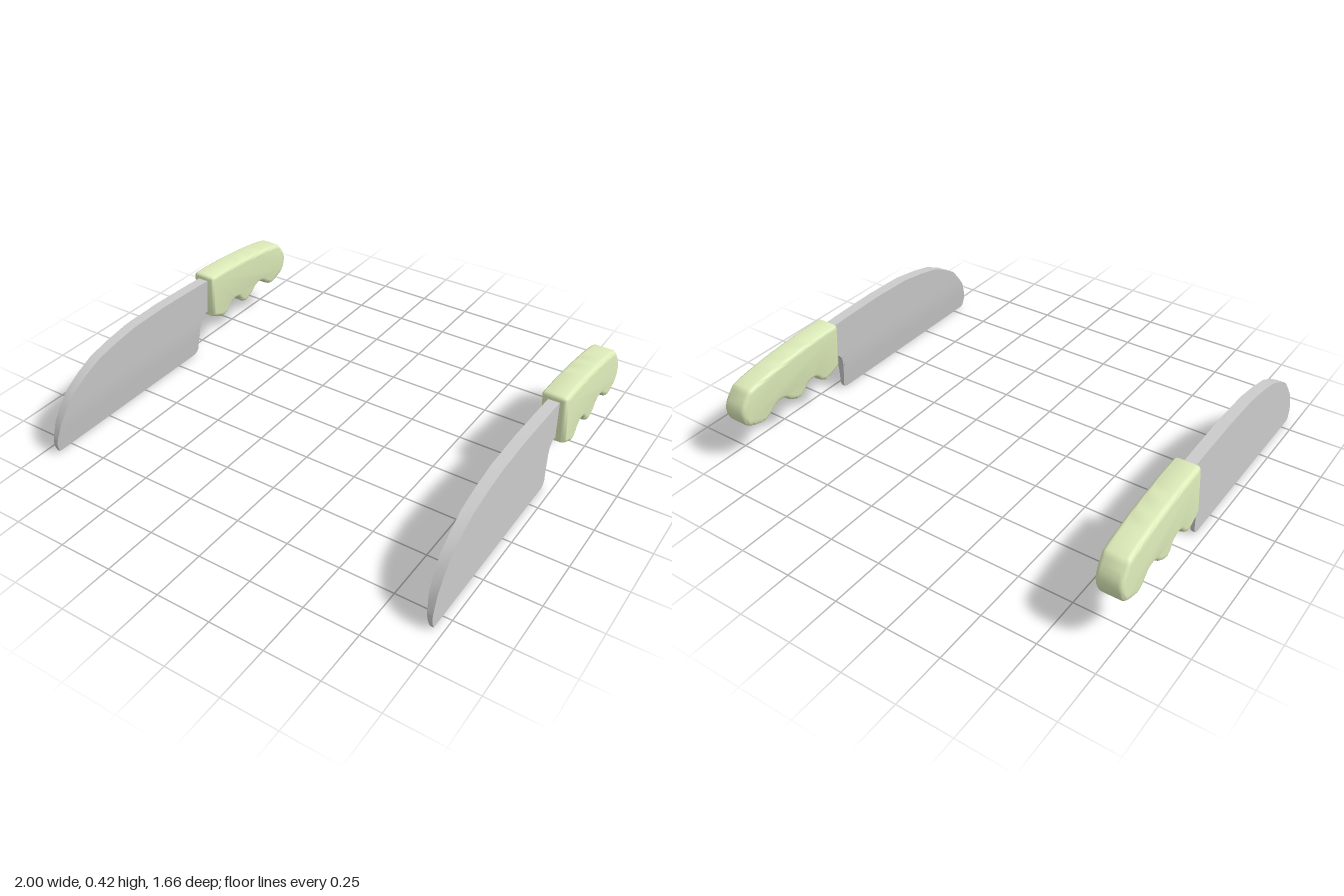
import * as THREE from 'three';
import { toCreasedNormals } from 'three/addons/utils/BufferGeometryUtils.js';

const ROWS = 10;

// Inner face of the blade: thin at the edge, thick at the spine
function innerX(y) {
  if (y < 0.15) return THREE.MathUtils.lerp(0.945, 0.922, y / 0.15);
  return THREE.MathUtils.lerp(0.922, 0.902, (y - 0.15) / 0.26);
}

// Blade lofted from upright cross-sections, tip to tang
function bladeGeometry() {
  // [z, bottom y, top y]
  const sections = [
    [0.832, 0.045, 0.065], [0.828, 0.025, 0.083], [0.82, 0.004, 0.105], [0.803, 0.002, 0.155],
    [0.76, 0.002, 0.215], [0.715, 0.002, 0.268], [0.64, 0.002, 0.315], [0.55, 0.002, 0.357],
    [0.44, 0.002, 0.382], [0.31, 0.002, 0.402], [0.1, 0.002, 0.407], [-0.125, 0.002, 0.4],
    [-0.14, 0.01, 0.4], [-0.149, 0.025, 0.399], [-0.151, 0.1, 0.399], [-0.157, 0.165, 0.398],
    [-0.165, 0.195, 0.398], [-0.185, 0.216, 0.397], [-0.205, 0.219, 0.396], [-0.25, 0.205, 0.39],
  ];
  const pos = [], index = [], n = ROWS * 2;
  for (const [z, lo, hi] of sections) {
    for (let i = 0; i < n; i++) {
      const outer = i < ROWS;
      const t = (outer ? i : n - 1 - i) / (ROWS - 1);
      const y = lo + (hi - lo) * t;
      pos.push(outer ? 0.959 - 0.004 * (y / 0.4) : innerX(y), y, z);
    }
  }
  for (let s = 0; s < sections.length - 1; s++) {
    for (let i = 0; i < n; i++) {
      const a = s * n + i, b = s * n + (i + 1) % n;
      index.push(a, a + n, b, b, a + n, b + n);
    }
  }
  // End caps
  const last = (sections.length - 1) * n;
  for (let i = 0; i < ROWS - 1; i++) {
    const j = n - 1 - i;
    index.push(i, i + 1, j, i + 1, j - 1, j);
    index.push(last + i, last + j, last + i + 1, last + i + 1, last + j, last + j - 1);
  }
  const geo = new THREE.BufferGeometry();
  geo.setAttribute('position', new THREE.Float32BufferAttribute(pos, 3));
  geo.setIndex(index);
  return toCreasedNormals(geo, 0.6);
}

// Scalloped grip: bevelled side profile, leaning slightly outward at the bottom
function handleGeometry() {
  const v = (z, y) => new THREE.Vector2(-z, y);
  const width = 0.118, bevel = 0.02;
  const shape = new THREE.Shape();
  shape.moveTo(0.215, 0.2);
  // Finger grooves, then the rounded butt
  shape.splineThru([
    v(-0.245, 0.182), v(-0.305, 0.158), v(-0.345, 0.178), v(-0.37, 0.205), v(-0.4, 0.214),
    v(-0.43, 0.203), v(-0.455, 0.172), v(-0.49, 0.157), v(-0.54, 0.178), v(-0.57, 0.204),
    v(-0.6, 0.214), v(-0.635, 0.204), v(-0.67, 0.175), v(-0.71, 0.157), v(-0.77, 0.172),
    v(-0.81, 0.196), v(-0.83, 0.25), v(-0.818, 0.3), v(-0.775, 0.357),
  ]);
  // Back of the grip
  shape.splineThru([v(-0.72, 0.373), v(-0.58, 0.396), v(-0.4, 0.414), v(-0.3, 0.419), v(-0.235, 0.42)]);
  shape.quadraticCurveTo(0.215, 0.42, 0.215, 0.405);
  shape.closePath();

  const geo = new THREE.ExtrudeGeometry(shape, {
    depth: width - 2 * bevel, curveSegments: 3, steps: 1,
    bevelThickness: bevel, bevelSize: bevel, bevelOffset: -bevel, bevelSegments: 4,
  });
  geo.translate(0, 0, bevel - width / 2);
  geo.rotateY(Math.PI / 2);
  const p = geo.attributes.position;
  for (let i = 0; i < p.count; i++) {
    p.setX(i, p.getX(i) + 0.935 - 0.058 * (p.getY(i) - 0.29));
  }
  geo.deleteAttribute('uv');
  return toCreasedNormals(geo, 0.9);
}

// Mirror across x = 0, swapping corners so faces still point outward
function mirrored(source) {
  const geo = source.clone().scale(-1, 1, 1);
  for (const attr of [geo.attributes.position, geo.attributes.normal]) {
    const a = attr.array;
    for (let i = 0; i < a.length; i += 9) {
      for (let k = 3; k < 6; k++) [a[i + k], a[i + k + 3]] = [a[i + k + 3], a[i + k]];
    }
  }
  return geo;
}

export function createModel() {
  const model = new THREE.Group();
  model.name = 'knifePair';
  const steel = new THREE.MeshStandardMaterial({ color: 0xcccccc });
  const grip = new THREE.MeshStandardMaterial({ color: 0xdceab8 });
  const parts = [['blade', bladeGeometry(), steel], ['handle', handleGeometry(), grip]];

  for (const side of ['left', 'right']) {
    const knife = new THREE.Group();
    knife.name = side + 'Knife';
    for (const [name, geo, material] of parts) {
      const mesh = new THREE.Mesh(side === 'left' ? geo : mirrored(geo), material);
      mesh.name = name;
      knife.add(mesh);
    }
    model.add(knife);
  }
  return model;
}
